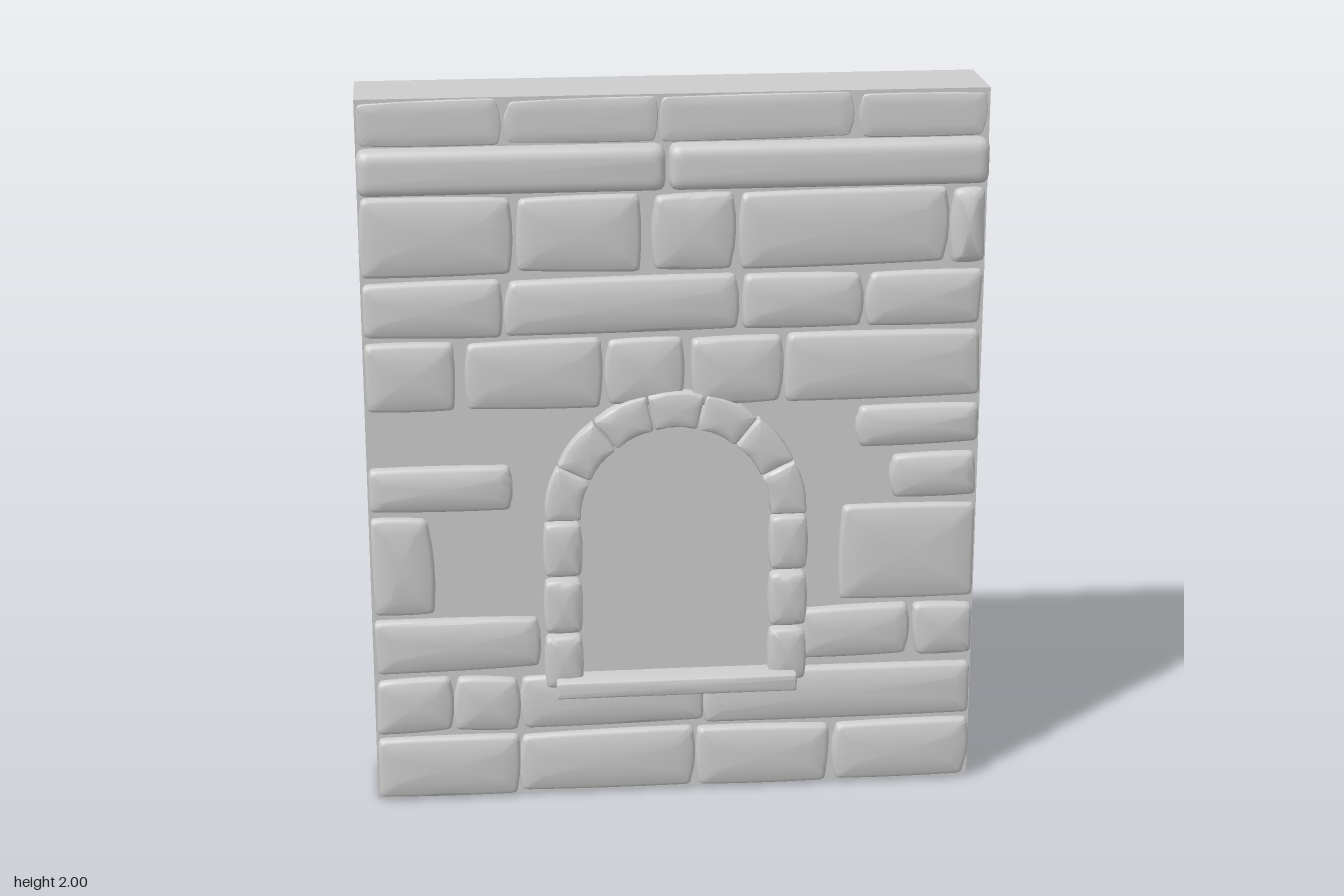
import * as THREE from 'three';
import { toCreasedNormals } from 'three/addons/utils/BufferGeometryUtils.js';

const stoneGrey = new THREE.MeshStandardMaterial({ color: 0xcccccc });
stoneGrey.name = 'stoneGrey';

const WALL_FRONT = 0.08;

let seed = 11;
const rand = () => (seed = (seed * 16807) % 2147483647) / 2147483647;
const jitter = (a) => (rand() * 2 - 1) * a;

// Outline of a four-cornered stone (counter-clockwise), rounded corners and bowed edges.
function outline(corners, bows, radius) {
  const v = corners.map(([x, y]) => new THREE.Vector2(x, y));
  const points = [];
  v.forEach((p, i) => {
    const prev = v[(i + 3) % 4], next = v[(i + 1) % 4];
    const a = p.clone().add(prev.clone().sub(p).setLength(radius));
    const b = p.clone().add(next.clone().sub(p).setLength(radius));
    points.push(...new THREE.QuadraticBezierCurve(a, p, b).getPoints(3));
    const dir = next.clone().sub(p).normalize();
    for (const t of [0.3, 0.5, 0.7]) {
      const push = bows[i] * 4 * t * (1 - t);
      points.push(new THREE.Vector2().lerpVectors(p, next, t).add(new THREE.Vector2(dir.y, -dir.x).multiplyScalar(push)));
    }
  });
  return points;
}

// Loft the outline forward from the wall, with a rounded rim and a slightly domed face.
function stoneMesh(name, corners, { front, bows = [0, 0, 0, 0], radius = 0.016, rim = 0.012, dome = 0.006 }) {
  const pts = outline(corners, bows, radius);
  const n = pts.length;
  const xs = corners.map((c) => c[0]), ys = corners.map((c) => c[1]);
  const cx = xs.reduce((a, b) => a + b) / 4, cy = ys.reduce((a, b) => a + b) / 4;
  const hw = (Math.max(...xs) - Math.min(...xs)) / 2, hh = (Math.max(...ys) - Math.min(...ys)) / 2;
  const edge = front - dome;
  const rings = [
    [0, WALL_FRONT - 0.01], [0, edge - rim], [rim * 0.3, edge - rim * 0.3], [rim, edge],
    [Math.min(hw, hh) * 0.5, front - dome * 0.25],
  ];
  const position = [], index = [];
  for (const [inset, z] of rings) {
    for (const p of pts) position.push(cx + (p.x - cx) * (1 - inset / hw), cy + (p.y - cy) * (1 - inset / hh), z);
  }
  position.push(cx, cy, front);
  for (let r = 0; r < rings.length; r++) {
    for (let i = 0; i < n; i++) {
      const a = r * n + i, b = r * n + (i + 1) % n;
      if (r === rings.length - 1) index.push(a, b, rings.length * n);
      else index.push(a, b, b + n, a, b + n, a + n);
    }
  }
  const geometry = new THREE.BufferGeometry();
  geometry.setAttribute('position', new THREE.Float32BufferAttribute(position, 3));
  geometry.setIndex(index);
  const mesh = new THREE.Mesh(toCreasedNormals(geometry, 0.9), stoneGrey);
  mesh.name = name;
  return mesh;
}

const rect = (x0, x1, y0, y1) => [[x0, y0], [x1, y0], [x1, y1], [x0, y1]];

// A row of rough stones; each span is [left, right].
function course(name, y0, y1, spans, front) {
  const group = new THREE.Group();
  group.name = name;
  for (const [x0, x1] of spans) {
    const corners = rect(x0, x1, y0, y1).map(([x, y]) => [
      THREE.MathUtils.clamp(x + jitter(0.008), -0.835, 0.835), y + jitter(0.006)]);
    const bow = () => 0.003 + rand() * 0.007;
    group.add(stoneMesh('stone', corners, {
      front: front ?? 0.108 + rand() * 0.012,
      bows: [0.002, x1 > 0.83 ? 0 : bow(), 0.002, x0 < -0.83 ? 0 : bow()],
      rim: front ? 0.003 : 0.012, dome: front ? 0.002 : 0.009,
    }));
  }
  return group;
}

export function createModel() {
  const model = new THREE.Group();
  model.name = 'stoneWall';

  // Backing slab
  const slab = new THREE.Mesh(new THREE.BoxGeometry(1.68, 2, 0.24), stoneGrey);
  slab.name = 'wallSlab';
  slab.position.set(0, 1, -0.04);
  model.add(slab);

  // Courses from the ground up
  model.add(
    course('baseCourse', 0.012, 0.187, [[-0.835, -0.445], [-0.43, 0.05], [0.066, 0.432], [0.45, 0.83]]),
    course('secondCourse', 0.205, 0.362, [[-0.835, -0.632], [-0.612, -0.448], [-0.43, 0.073], [0.088, 0.835]]),
    course('thirdCourse', 0.39, 0.538, [[-0.835, -0.388], [0.355, 0.652], [0.675, 0.835]]),
    course('leftUprightStone', 0.562, 0.843, [[-0.835, -0.672]]),
    course('rightLargeStone', 0.56, 0.838, [[0.462, 0.835]]),
    course('middleCourse', 0.863, 0.985, [[-0.835, -0.452], [0.602, 0.835]]),
    course('rightSmallStone', 1.013, 1.128, [[0.508, 0.835]]),
    course('aboveArchCourse', 1.15, 1.335, [[-0.835, -0.597], [-0.568, -0.207], [-0.19, 0.018], [0.045, 0.282], [0.298, 0.835]]),
    course('sixthCourse', 1.355, 1.505, [[-0.835, -0.472], [-0.452, 0.162], [0.178, 0.507], [0.528, 0.835]]),
    course('seventhCourse', 1.527, 1.733, [[-0.83, -0.447], [-0.42, -0.097], [-0.062, 0.157], [0.175, 0.727], [0.745, 0.835]]),
    course('topCourse', 1.875, 1.992, [[-0.835, -0.468], [-0.445, -0.052], [-0.035, 0.475], [0.492, 0.83]], 0.086),
  );

  // Projecting ledge in two lengths
  for (const [x0, x1] of [[-0.838, -0.03], [-0.018, 0.835]]) {
    model.add(stoneMesh('ledge', rect(x0, x1, 1.75, 1.87), { front: 0.14, radius: 0.025, rim: 0.02, dome: 0.002 }));
  }

  // Arch of seven wedge stones
  const arch = new THREE.Group();
  arch.name = 'windowArch';
  const inner = 0.263, outer = 0.362, centreY = 0.825, step = Math.PI / 7;
  for (let i = 0; i < 7; i++) {
    const a = i * step + 0.008, b = (i + 1) * step - 0.008;
    const at = (r, t) => [r * Math.cos(t), centreY + r * Math.sin(t)];
    const sag = 1 - Math.cos(step / 2);
    arch.add(stoneMesh('archStone', [at(inner, a), at(outer, a), at(outer, b), at(inner, b)], {
      front: 0.122, bows: [0, outer * sag, 0, -inner * sag], radius: 0.008, rim: 0.007, dome: 0.004,
    }));
  }
  model.add(arch);

  // Window jambs, three blocks on each side
  for (const side of [-1, 1]) {
    for (const [y0, y1] of [[0.333, 0.483], [0.497, 0.65], [0.665, 0.818]]) {
      const x0 = side < 0 ? -0.362 : 0.262;
      model.add(stoneMesh('windowJamb', rect(x0, x0 + 0.1, y0, y1), {
        front: 0.125, bows: [0.002, 0.004, 0.002, 0.004], radius: 0.014, rim: 0.01,
      }));
    }
  }

  // Window sill
  model.add(stoneMesh('windowSill', rect(-0.335, 0.335, 0.315, 0.365), { front: 0.16, radius: 0.006, rim: 0.006, dome: 0.002 }));
  return model;
}
